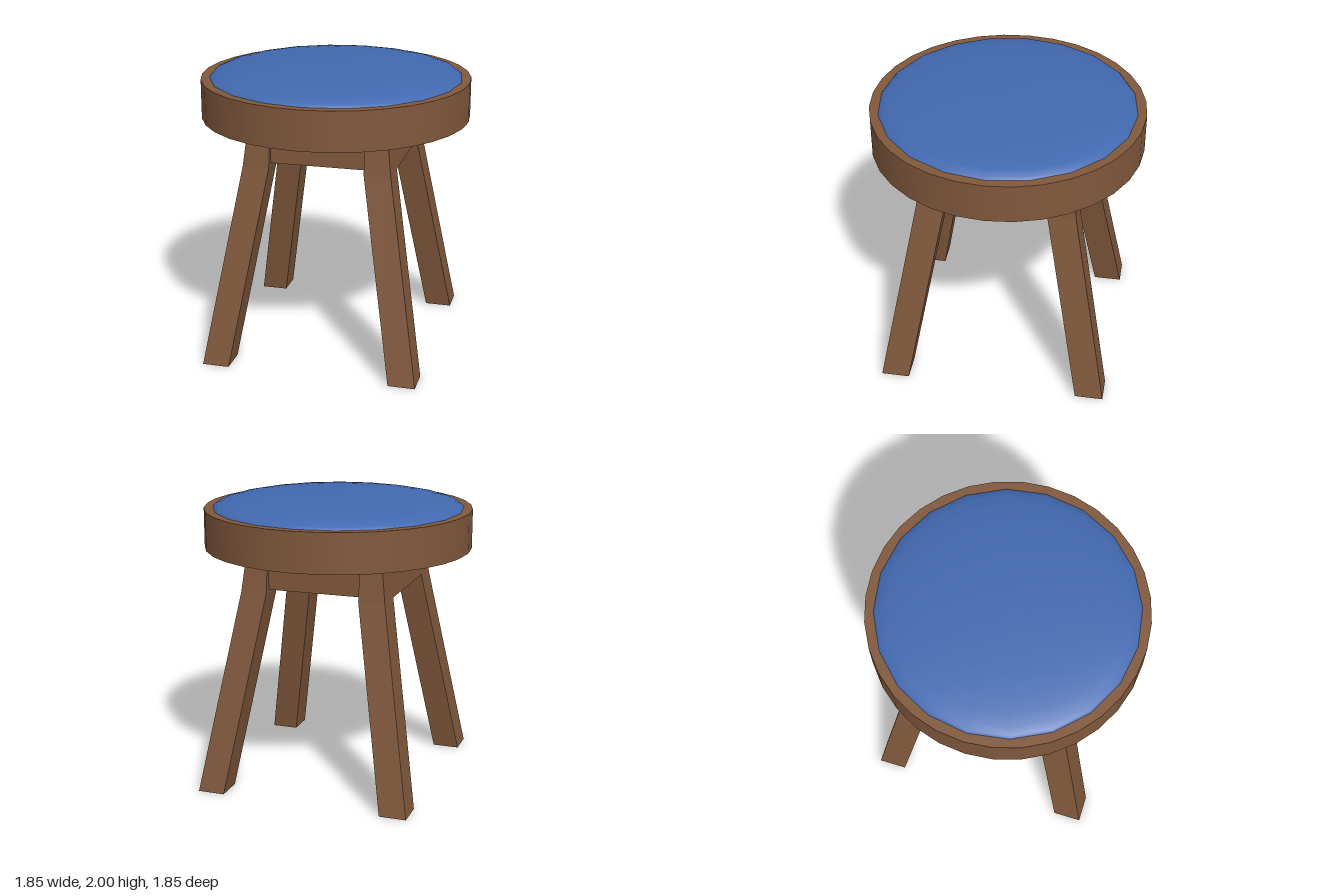
import * as THREE from 'three';

const wood = new THREE.MeshStandardMaterial({ color: 0x80583c, flatShading: true });
const woodSmooth = new THREE.MeshStandardMaterial({ color: 0x80583c });
const fabric = new THREE.MeshStandardMaterial({ color: 0x4169b0 });

// Solid through stacked rectangles, each [y, x0, x1, z0, z1], from bottom to top
function loft(sections) {
  const pos = [];
  const idx = [];
  for (const [y, x0, x1, z0, z1] of sections) {
    pos.push(x0, y, z1, x1, y, z1, x1, y, z0, x0, y, z0);
  }
  for (let s = 0; s < sections.length - 1; s++) {
    for (let i = 0; i < 4; i++) {
      const a = s * 4 + i, b = s * 4 + (i + 1) % 4;
      idx.push(a, b, b + 4, a, b + 4, a + 4);
    }
  }
  const t = (sections.length - 1) * 4;
  idx.push(0, 2, 1, 0, 3, 2, t, t + 1, t + 2, t, t + 2, t + 3);
  const geo = new THREE.BufferGeometry();
  geo.setAttribute('position', new THREE.Float32BufferAttribute(pos, 3));
  geo.setIndex(idx);
  const flat = geo.toNonIndexed();
  flat.computeVertexNormals();
  return flat;
}

// Mirror a rectangle section across x and/or z
const mirror = ([y, x0, x1, z0, z1], sx, sz) => [
  y,
  Math.min(x0 * sx, x1 * sx), Math.max(x0 * sx, x1 * sx),
  Math.min(z0 * sz, z1 * sz), Math.max(z0 * sz, z1 * sz),
];

export function createModel() {
  const group = new THREE.Group();
  const add = (name, geo, mat) => {
    const mesh = new THREE.Mesh(geo, mat);
    mesh.name = name;
    group.add(mesh);
    return mesh;
  };

  // Splayed legs, bending more upright at the aprons
  const leg = [
    [0, 0.56, 0.745, 0.6, 0.795],
    [1.38, 0.325, 0.507, 0.345, 0.537],
    [1.635, 0.325, 0.477, 0.345, 0.507],
  ];
  // Thick side aprons, flush with the outer faces of the legs
  const sideApron = [
    [1.38, 0.325, 0.507, -0.345, 0.345],
    [1.635, 0.325, 0.477, -0.345, 0.345],
  ];
  // Front and back aprons, set in slightly between the legs
  const endApron = [
    [1.4, -0.325, 0.325, 0.37, 0.49],
    [1.635, -0.325, 0.325, 0.37, 0.49],
  ];
  for (const s of [1, -1]) {
    for (const t of [1, -1]) {
      add((t > 0 ? 'front' : 'back') + (s > 0 ? 'Left' : 'Right') + 'Leg',
        loft(leg.map((r) => mirror(r, s, t))), wood);
    }
    add(s > 0 ? 'leftApron' : 'rightApron', loft(sideApron.map((r) => mirror(r, s, 1))), wood);
    add(s > 0 ? 'frontApron' : 'backApron', loft(endApron.map((r) => mirror(r, 1, s))), wood);
  }

  // Round wooden seat
  add('seat', new THREE.CylinderGeometry(0.925, 0.925, 0.27, 32), woodSmooth).position.y = 1.77;

  // Shallow domed cushion
  const dome = [];
  for (let i = 0; i <= 8; i++) {
    const a = (i / 8) * Math.PI / 2;
    dome.push(new THREE.Vector2(i === 8 ? 0 : 0.868 * Math.cos(a), 1.903 + 0.097 * Math.sin(a)));
  }
  add('cushion', new THREE.LatheGeometry(dome, 20), fabric);

  return group;
}
